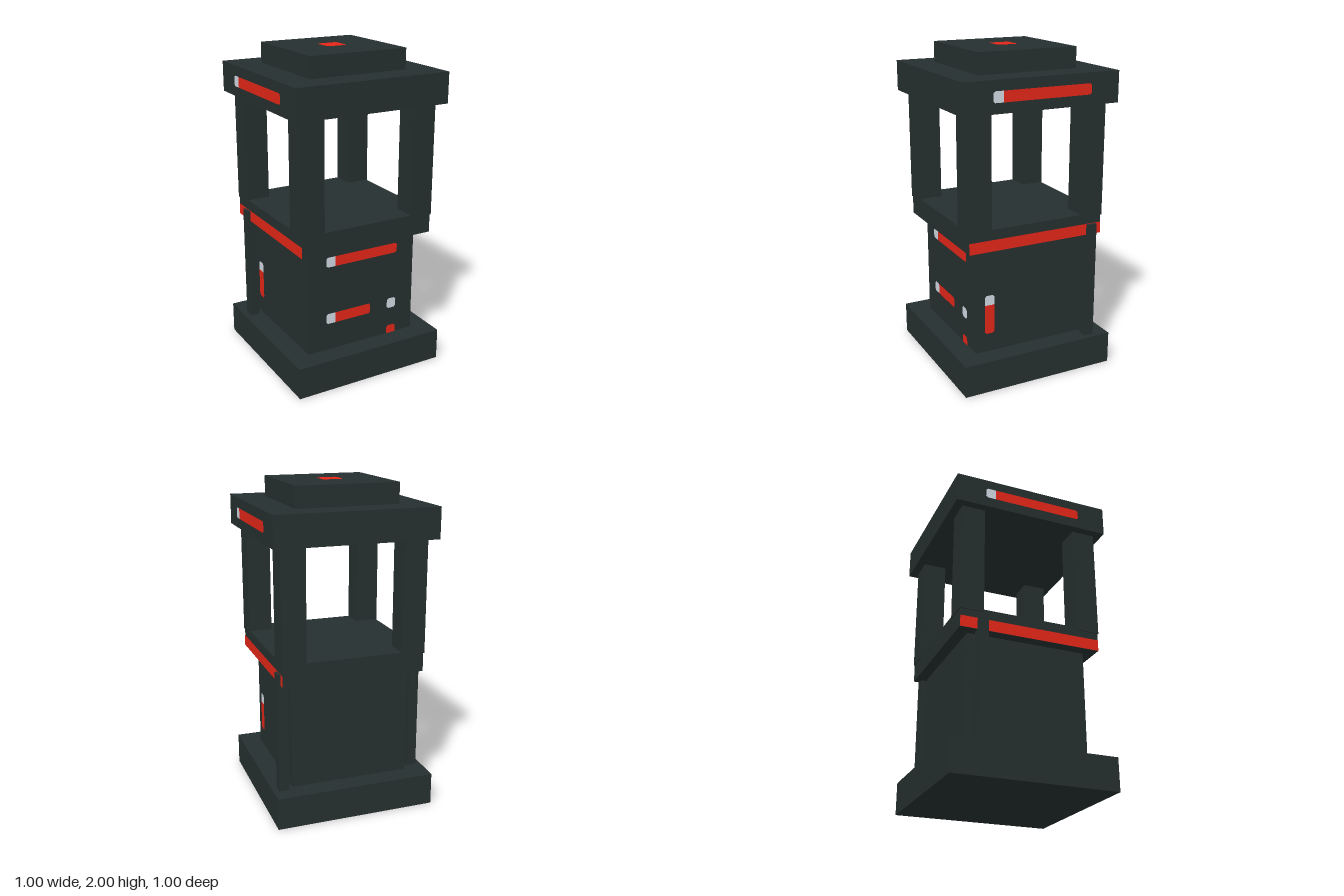
import * as THREE from 'three';

export function createModel() {
  const model = new THREE.Group();
  model.name = 'pillarLantern';

  const paint = (name, color) => {
    const m = new THREE.MeshStandardMaterial({ color });
    m.name = name;
    return m;
  };
  const dark = paint('darkSlate', 0x262f2f);
  const red = paint('red', 0xe42617);
  const silver = paint('silver', 0xd1d9e2);

  // Box centred on (x, z), spanning y0 to y1
  const block = (name, w, d, y0, y1, x = 0, z = 0) => {
    const mesh = new THREE.Mesh(new THREE.BoxGeometry(w, y1 - y0, d), dark);
    mesh.position.set(x, (y0 + y1) / 2, z);
    mesh.name = name;
    model.add(mesh);
  };

  // Flat painted patch facing +z, with clipped corners: [bottom left, bottom right, top right, top left]
  const patch = (parent, name, material, x0, x1, y0, y1, z, [bl, br, tr, tl] = [1, 1, 1, 1]) => {
    const c = 0.011;
    const shape = new THREE.Shape([
      [x0 + c * bl, y0], [x1 - c * br, y0], [x1, y0 + c * br], [x1, y1 - c * tr],
      [x1 - c * tr, y1], [x0 + c * tl, y1], [x0, y1 - c * tl], [x0, y0 + c * bl],
    ].map(([x, y]) => new THREE.Vector2(x, y)));
    const mesh = new THREE.Mesh(new THREE.ShapeGeometry(shape), material);
    mesh.position.z = z + 0.003;
    mesh.name = name;
    parent.add(mesh);
  };

  // Horizontal red stripe with a silver left end
  const stripe = (parent, name, x0, x1, y0, y1, z) => {
    patch(parent, name + 'End', silver, x0, x0 + 0.0635, y0, y1, z, [1, 0, 0, 1]);
    patch(parent, name, red, x0 + 0.0635, x1, y0, y1, z, [0, 1, 1, 0]);
  };

  // Stacked body
  block('base', 1, 1, 0, 0.2);
  block('body', 0.746, 0.746, 0.2, 0.873);
  block('ledge', 0.884, 0.884, 0.873, 1.005);
  block('cap', 0.996, 0.996, 1.685, 1.873);
  block('capTop', 0.634, 0.634, 1.873, 2);

  // Corner posts
  for (const sx of [-1, 1]) {
    for (const sz of [-1, 1]) block('post', 0.148, 0.148, 0.988, 1.685, sx * 0.373, sz * 0.373);
  }

  // Slim rods beside the body, the right one set further forward
  block('leftRod', 0.062, 0.062, 0.2, 0.94, 0.433, -0.373);
  block('rightRod', 0.062, 0.062, 0.2, 0.94, -0.435, -0.305);

  // Front markings
  const front = new THREE.Group();
  front.name = 'frontMarkings';
  stripe(front, 'upperStripe', -0.25, 0.25, 0.751, 0.815, 0.373);
  stripe(front, 'lowerStripe', -0.25, 0.0625, 0.377, 0.444, 0.373);
  patch(front, 'silverDot', silver, 0.186, 0.25, 0.377, 0.444, 0.373);
  patch(front, 'redDot', red, 0.186, 0.25, 0.2, 0.255, 0.373, [0, 0, 1, 1]);
  model.add(front);

  // Side markings, the same on both sides turned half round
  for (const s of [-1, 1]) {
    const side = new THREE.Group();
    side.name = s > 0 ? 'leftMarkings' : 'rightMarkings';
    stripe(side, 'capStripe', -0.3135, 0.3135, 1.747, 1.812, 0.498);
    patch(side, 'ledgeBand', red, -0.442, 0.442, 0.873, 0.943, 0.442, [0, 0, 0, 0]);
    patch(side, 'uprightStripe', red, -0.3135, -0.25, 0.318, 0.504, 0.373, [1, 1, 0, 0]);
    patch(side, 'uprightStripeEnd', silver, -0.3135, -0.25, 0.504, 0.567, 0.373, [0, 0, 1, 1]);
    side.rotation.y = s * Math.PI / 2;
    model.add(side);
  }

  // Red square on the very top
  const top = new THREE.Group();
  top.name = 'topMarking';
  patch(top, 'topSquare', red, -0.065, 0.065, -0.065, 0.065, 0);
  top.rotation.x = -Math.PI / 2;
  top.position.y = 1.999;
  model.add(top);

  return model;
}
